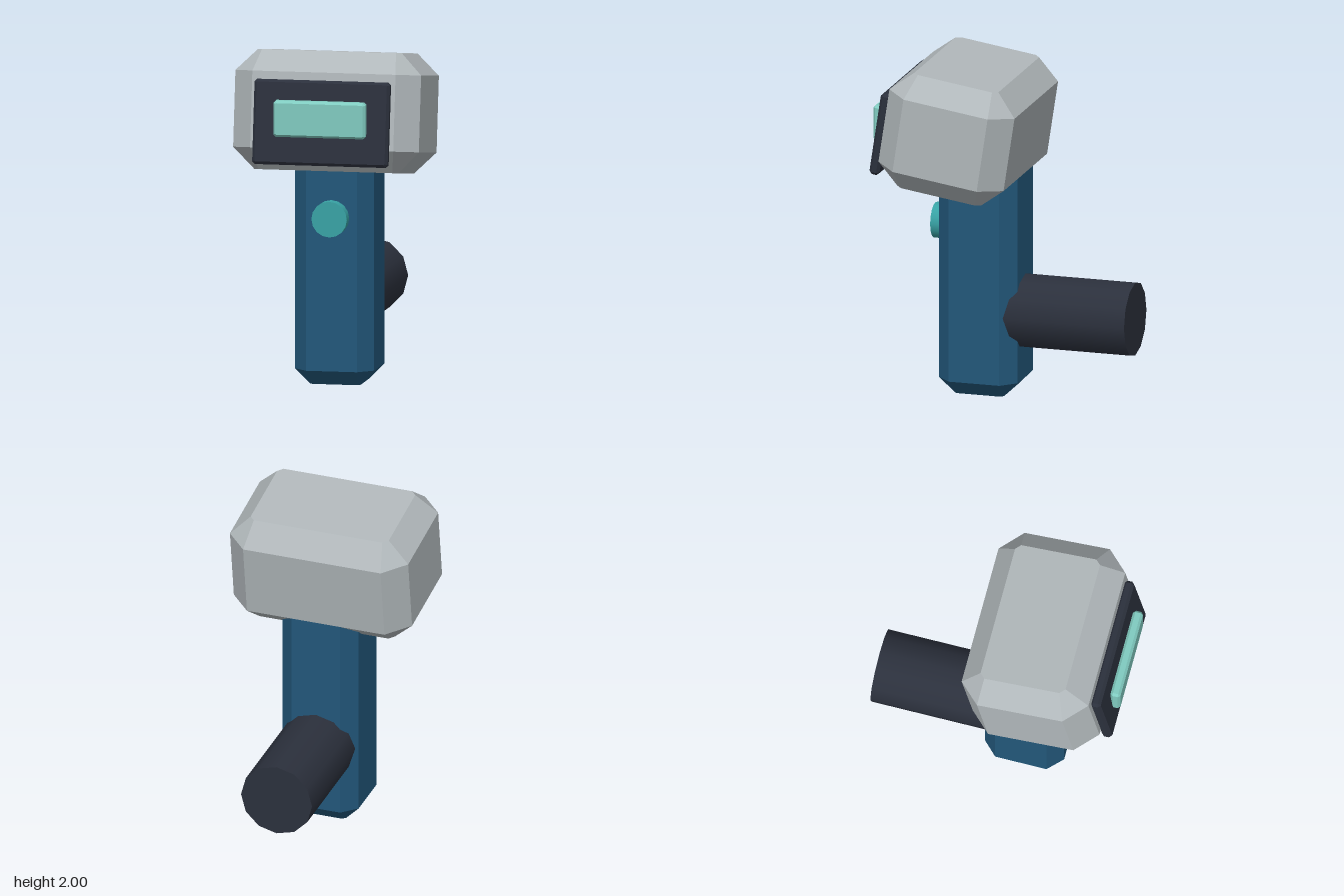
import * as THREE from 'three';

const mat = (name, color) => new THREE.MeshStandardMaterial({ name, color });

// Flat-faced solid lofted through octagonal sections [y, halfWidth, halfDepth, cornerCut]
function chamferedSolid(sections) {
  const loops = sections.map(([y, w, d, c]) => [
    [w, d - c], [w, c - d], [w - c, -d], [c - w, -d],
    [-w, c - d], [-w, d - c], [c - w, d], [w - c, d],
  ].map(([x, z]) => new THREE.Vector3(x, y, z)));
  const pts = [];
  for (let s = 0; s < loops.length - 1; s++) {
    const lo = loops[s], hi = loops[s + 1];
    for (let i = 0; i < 8; i++) {
      const j = (i + 1) % 8;
      pts.push(lo[i], lo[j], hi[j], lo[i], hi[j], hi[i]);
    }
  }
  const bottom = loops[0], top = loops[loops.length - 1];
  for (let i = 1; i < 7; i++) {
    pts.push(top[0], top[i], top[i + 1], bottom[0], bottom[i + 1], bottom[i]);
  }
  const geometry = new THREE.BufferGeometry().setFromPoints(pts);
  geometry.computeVertexNormals();
  return geometry;
}

// Thin bevelled slab facing +z
function slab(width, height, depth, bevel) {
  const w = width / 2, h = height / 2, t = depth / 2, b = bevel;
  return chamferedSolid([
    [-t, w - b, h - b, b * 0.3], [-t + b, w, h, b],
    [t - b, w, h, b], [t, w - b, h - b, b * 0.3],
  ]).rotateX(Math.PI / 2);
}

// Cylinder along z between two depths
function rod(radius, z0, z1, sides) {
  return new THREE.CylinderGeometry(radius, radius, z1 - z0, sides)
    .rotateX(Math.PI / 2).translate(0, 0, (z0 + z1) / 2);
}

export function createModel() {
  const group = new THREE.Group();
  const grey = mat('light grey shell', 0xb0b7ba);
  const blue = mat('deep blue grip', 0x22577a);
  const dark = mat('charcoal', 0x2b303c);
  const teal = mat('teal button', 0x38a3a5);
  const mint = mat('pale mint display', 0x80cbc0);
  const tilt = -0.15;

  const add = (name, geometry, material, y, z, rx = 0) => {
    const mesh = new THREE.Mesh(geometry, material);
    mesh.name = name;
    mesh.position.set(0, y, z);
    mesh.rotation.x = rx;
    group.add(mesh);
  };

  // Tilted head
  add('head', chamferedSolid([
    [-0.352, 0.43, 0.26, 0.03], [-0.225, 0.555, 0.388, 0.127],
    [0.225, 0.555, 0.388, 0.127], [0.352, 0.43, 0.26, 0.03],
  ]), grey, 1.6125, 0.259, tilt);

  // Upright grip, its top sunk into the head
  add('grip', chamferedSolid([
    [0, 0.152, 0.152, 0.02], [0.09, 0.237, 0.24, 0.085], [1.38, 0.237, 0.24, 0.085],
  ]), blue, 0, 0.15);

  // Face plate and display
  add('facePlate', slab(0.81, 0.5, 0.062, 0.016), dark, 1.603, 0.678, tilt);
  add('display', slab(0.55, 0.215, 0.06, 0.014), mint, 1.633, 0.73);

  // Front button and rear barrel
  add('button', rod(0.106, 0.34, 0.46, 16), teal, 1.0, 0);
  add('rearBarrel', rod(0.221, -0.765, 0.05, 12), dark, 0.495, 0);

  return group;
}
